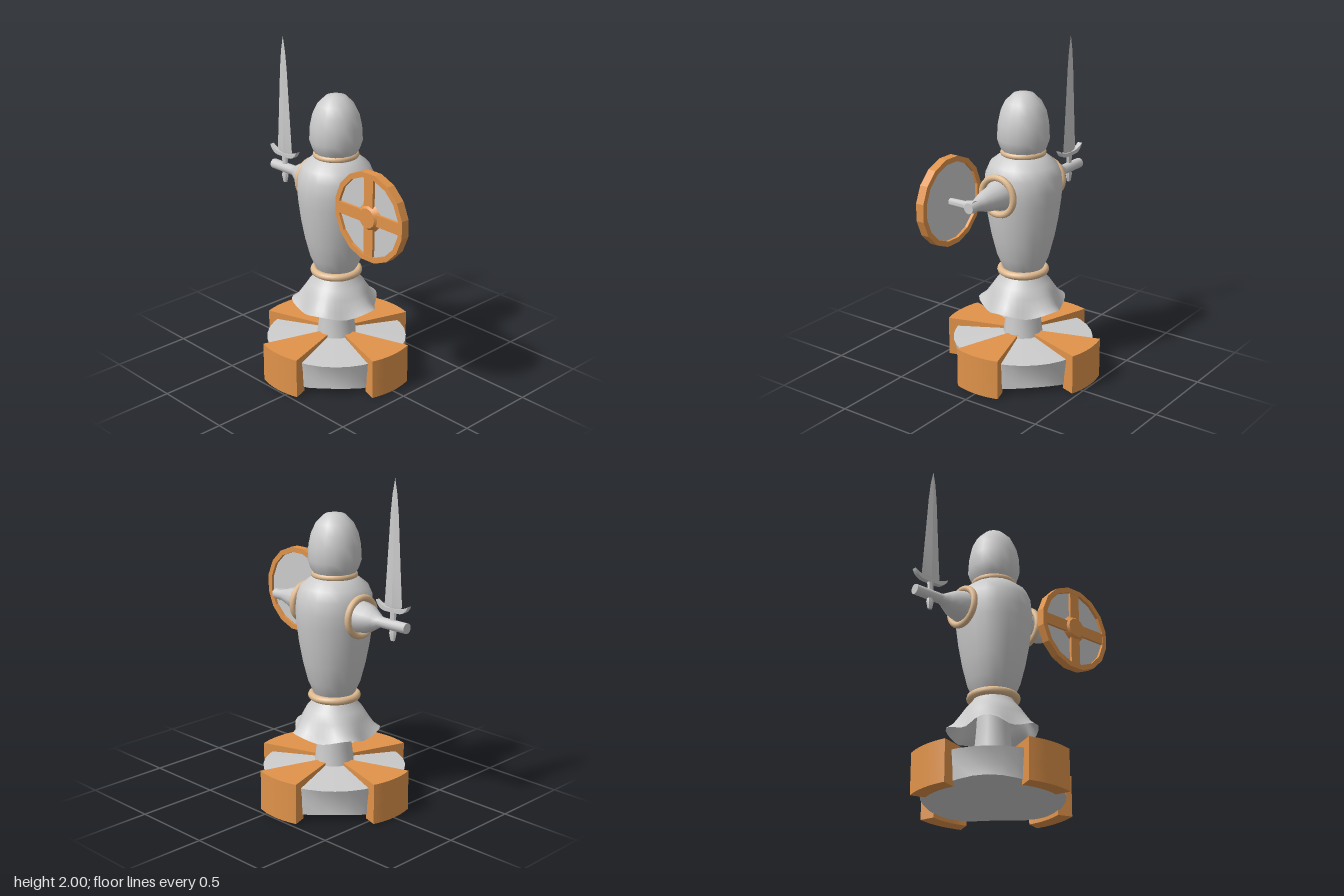
import * as THREE from 'three';
import { toCreasedNormals } from 'three/addons/utils/BufferGeometryUtils.js';

const CX = -0.08; // axis of the body
const mat = (color) => new THREE.MeshStandardMaterial({ color, side: THREE.DoubleSide });
const grey = mat(0xcccccc);
const orange = mat(0xe0934a);
const tan = mat(0xdfba90);

const crease = (geo, angle = 0.7) => toCreasedNormals(geo, angle);

function lathe(points, segments = 16, angle = 0.7) {
  const geo = new THREE.LatheGeometry(points.map(([r, y]) => new THREE.Vector2(r, y)), segments);
  return crease(geo, angle);
}

export function createModel() {
  const root = new THREE.Group();

  function add(name, geo, material, x = 0, y = 0, z = 0, parent = root) {
    const mesh = new THREE.Mesh(geo, material);
    mesh.name = name;
    mesh.position.set(x, y, z);
    parent.add(mesh);
    return mesh;
  }

  // Base disc: the rim lifts and bows between the four clamps
  const disc = new THREE.LatheGeometry(
    [[0, 0.04], [0.25, 0.03], [0.41, 0.02], [0.425, 0.11], [0.43, 0.2], [0.1, 0.23]]
      .map(([r, y]) => new THREE.Vector2(r, y)), 32);
  const dp = disc.attributes.position;
  for (let i = 0; i < dp.count; i++) {
    const x = dp.getX(i), y = dp.getY(i), z = dp.getZ(i);
    const r = Math.hypot(x, z);
    const between = Math.sin(2 * Math.atan2(z, x)) ** 2;
    if (r > 0.3 && y < 0.05) dp.setY(i, y + 0.025 * between);
    if (r > 0.3 && y > 0.05 && y < 0.15) {
      const k = 1 - 0.05 * between;
      dp.setX(i, x * k);
      dp.setZ(i, z * k);
    }
  }
  add('baseDisc', crease(disc), grey, CX);

  // Clamps around the base: wedge on top, lip around the rim
  function sector(inner, outer, height) {
    const half = 0.31;
    const shape = new THREE.Shape();
    shape.absarc(0, 0, outer, -half, half, false);
    shape.absarc(0, 0, inner, half, -half, true);
    shape.closePath();
    const geo = new THREE.ExtrudeGeometry(shape, { depth: height, bevelEnabled: false, curveSegments: 5 });
    geo.rotateX(-Math.PI / 2);
    return crease(geo);
  }
  const wedge = sector(0.1, 0.49, 0.125);
  const lip = sector(0.4, 0.49, 0.12);
  for (let i = 0; i < 4; i++) {
    const clamp = new THREE.Group();
    clamp.name = 'baseClamp';
    clamp.position.x = CX;
    clamp.rotation.y = i * Math.PI / 2;
    add('clampWedge', wedge, orange, 0, 0.12, 0, clamp);
    add('clampLip', lip, orange, 0, 0, 0, clamp);
    root.add(clamp);
  }

  // Stem
  add('stem', lathe([[0.125, 0.2], [0.11, 0.32], [0.1, 0.44], [0.09, 0.62]], 12), grey, CX);

  // Skirt with a wavy hem
  const skirt = new THREE.LatheGeometry(
    [[0.255, 0.425], [0.225, 0.46], [0.195, 0.52], [0.165, 0.57], [0.125, 0.615], [0.11, 0.65]]
      .map(([r, y]) => new THREE.Vector2(r, y)), 40);
  const sp = skirt.attributes.position;
  for (let i = 0; i < sp.count; i++) {
    const x = sp.getX(i), y = sp.getY(i), z = sp.getZ(i);
    const low = Math.max(0, (0.58 - y) / 0.155);
    const wave = Math.cos(5 * Math.atan2(z, x) + 0.5) * low * low;
    const k = 1 + 0.08 * wave;
    sp.setXYZ(i, x * k, y + 0.018 * wave, z * k);
  }
  skirt.computeVertexNormals();
  add('skirt', crease(skirt, 1), grey, CX);

  // Torso
  const torso = add('torso', lathe([
    [0.1, 0.63], [0.125, 0.67], [0.155, 0.74], [0.185, 0.86], [0.207, 0.98], [0.222, 1.1],
    [0.228, 1.18], [0.22, 1.26], [0.195, 1.32], [0.14, 1.365], [0.1, 1.39], [0, 1.4],
  ], 20, 1), grey, CX);
  torso.scale.z = 1.03;

  // Helmet
  add('helmet', lathe([
    [0, 1.395], [0.125, 1.395], [0.14, 1.42], [0.157, 1.47], [0.152, 1.56],
    [0.137, 1.63], [0.108, 1.69], [0.06, 1.737], [0, 1.75],
  ], 16, 0.8), grey, CX);

  // Rings at waist, neck and shoulders
  const ring = (name, R, tube, x, y, z) =>
    add(name, new THREE.TorusGeometry(R, tube, 10, 28), tan, x, y, z);
  ring('waistRing', 0.135, 0.023, CX, 0.645, 0).rotation.x = Math.PI / 2;
  ring('neckRing', 0.117, 0.02, CX, 1.385, 0).rotation.x = Math.PI / 2;
  ring('rightShoulderRing', 0.112, 0.02, -0.31, 1.172, -0.015).rotation.set(0, Math.PI / 2, -0.06);
  ring('leftShoulderRing', 0.112, 0.02, 0.165, 1.172, 0.008).rotation.set(0, Math.PI / 2, 0.06);

  // Right arm and hand, reaching out to the side
  add('rightArm', lathe([
    [0.1, 0], [0.092, 0.07], [0.08, 0.12], [0.055, 0.165], [0.034, 0.2], [0.031, 0.22], [0.031, 0.4], [0, 0.4],
  ], 12), grey, -0.258, 1.172, -0.016).rotation.z = Math.PI / 2;

  // Left arm to the elbow, then the forearm forward to the shield
  add('leftArm', lathe([
    [0.1, 0], [0.075, 0.07], [0.062, 0.15], [0.045, 0.2], [0.034, 0.24], [0.032, 0.305], [0, 0.305],
  ], 12), grey, 0.13, 1.172, 0.012).rotation.z = -Math.PI / 2;
  add('leftForearm', lathe([[0, -0.02], [0.038, -0.01], [0.034, 0.03], [0.024, 0.06], [0.022, 0.17], [0, 0.17]], 10),
    grey, 0.393, 1.172, 0.01).rotation.x = Math.PI / 2;

  // Sword
  const sword = new THREE.Group();
  sword.name = 'sword';
  sword.position.set(-0.55, 0, -0.012);
  root.add(sword);
  const bladeGeo = new THREE.LatheGeometry(
    [[0, 1.265], [0.05, 1.265], [0.065, 1.285], [0.05, 1.5], [0.03, 1.8], [0.018, 1.91], [0, 2]]
      .map(([r, y]) => new THREE.Vector2(r, y)), 4);
  bladeGeo.scale(1, 1, 0.2);
  add('blade', crease(bladeGeo, 0.2), grey, 0, 0, 0, sword);

  const guard = new THREE.Shape();
  guard.moveTo(-0.12, 1.3);
  guard.quadraticCurveTo(-0.07, 1.265, 0, 1.27);
  guard.quadraticCurveTo(0.07, 1.265, 0.12, 1.3);
  guard.quadraticCurveTo(0.1, 1.25, 0.05, 1.247);
  guard.lineTo(-0.05, 1.247);
  guard.quadraticCurveTo(-0.1, 1.25, -0.12, 1.3);
  const guardGeo = new THREE.ExtrudeGeometry(guard, { depth: 0.03, bevelEnabled: false, curveSegments: 6 });
  add('guard', guardGeo, grey, 0, 0, -0.015, sword);
  const grip = add('grip', lathe([[0, 1.08], [0.015, 1.08], [0.025, 1.125], [0.018, 1.15], [0.022, 1.26]], 8),
    grey, 0, 0, 0, sword);
  grip.scale.z = 0.7;

  // Shield: rim, plate, cross and hub
  const shield = new THREE.Group();
  shield.name = 'shield';
  shield.position.set(0.395, 1.175, 0.155);
  root.add(shield);
  const polygon = (r, n) => Array.from({ length: n }, (_, i) => {
    const a = (i + 0.5) * 2 * Math.PI / n;
    return new THREE.Vector2(r * Math.cos(a), r * Math.sin(a));
  });
  const rim = new THREE.Shape(polygon(0.267, 16));
  rim.holes.push(new THREE.Path(polygon(0.235, 16)));
  add('shieldRim', new THREE.ExtrudeGeometry(rim, { depth: 0.052, bevelEnabled: false }), orange, 0, 0, 0, shield);
  const plate = new THREE.CylinderGeometry(0.24, 0.24, 0.016, 16).rotateX(Math.PI / 2);
  add('shieldPlate', crease(plate), grey, 0, 0, 0.026, shield);
  for (let i = 0; i < 2; i++) {
    add('shieldBar', new THREE.BoxGeometry(0.475, 0.07, 0.022), orange, 0, 0, 0.039, shield)
      .rotation.z = i * Math.PI / 2;
  }
  const hub = new THREE.CylinderGeometry(0.06, 0.09, 0.034, 12).rotateX(Math.PI / 2);
  add('shieldHub', crease(hub, 0.6), orange, 0, 0, 0.046, shield);

  return root;
}
